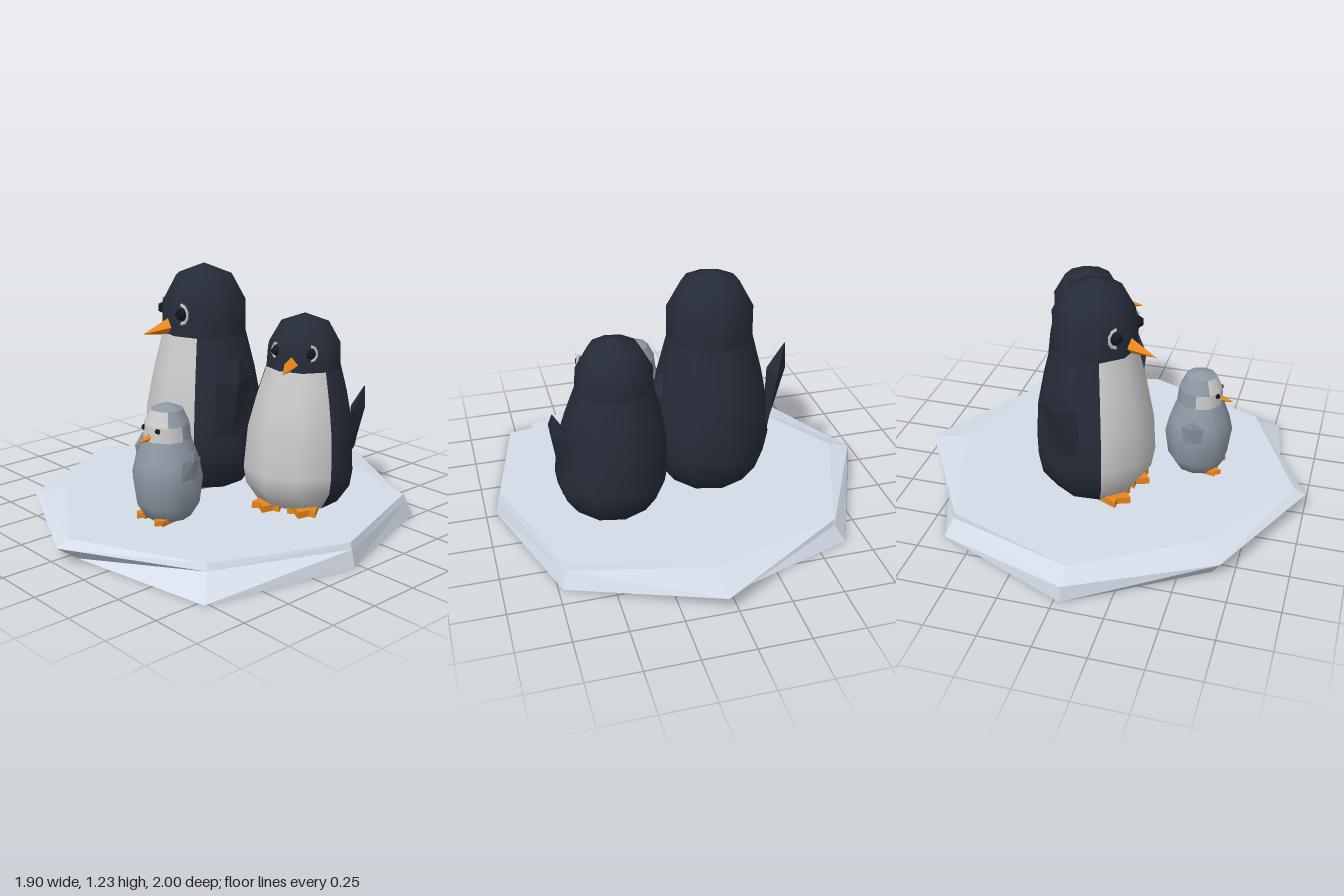
import * as THREE from 'three';

const DEG = Math.PI / 180;
const mat = (color, flatShading = false) =>
  new THREE.MeshStandardMaterial({ color, flatShading, side: THREE.DoubleSide });
const ice = mat(0xd3dce8, true);
const black = mat(0x252b38), blackFlat = mat(0x252b38, true);
const white = mat(0xebebeb), grey = mat(0x8d98a4), greyFlat = mat(0x8d98a4, true);
const dark = mat(0x14171f, true), orange = mat(0xe8871a, true);

function add(parent, name, geometry, material) {
  const mesh = new THREE.Mesh(geometry, material);
  mesh.name = name;
  parent.add(mesh);
  return mesh;
}

// Joins rings of equal length with quads, and closes both ends with a fan
function loft(rings) {
  const n = rings[0].length, idx = [], last = (rings.length - 1) * n;
  for (let r = 0; r < rings.length - 1; r++)
    for (let i = 0; i < n; i++) {
      const a = r * n + i, b = r * n + (i + 1) % n;
      idx.push(a, b, b + n, a, b + n, a + n);
    }
  for (let i = 1; i < n - 1; i++) idx.push(0, i + 1, i, last, last + i, last + i + 1);
  const g = new THREE.BufferGeometry();
  g.setAttribute('position', new THREE.Float32BufferAttribute(rings.flat(2), 3));
  g.setIndex(idx);
  g.computeVertexNormals();
  return g;
}

// Irregular eight-sided ice floe: base, rim and top outlines, [x, z] each
function makeFloe() {
  const base = [[0.05, 0.89], [0.78, 0.77], [0.95, 0.03], [0.73, -0.65],
    [0.05, -0.89], [-0.65, -0.65], [-0.95, 0.03], [-0.56, 0.65]];
  const rim = [[0.05, 1], [0.67, 0.66], [0.93, 0.03], [0.71, -0.62],
    [0.05, -1], [-0.6, -0.62], [-0.94, 0.03], [-0.6, 0.69]];
  const top = [[0.05, 0.94], [0.66, 0.65], [0.92, 0.03], [0.7, -0.61],
    [0.05, -0.81], [-0.6, -0.61], [-0.83, 0.03], [-0.49, 0.58]];
  const at = (ring, y) => ring.map(([x, z]) => [x, y, z]);
  return loft([at(base, 0), at(rim, 0.08), at(top, 0.11)]);
}

// Slice of a ten-sided lathe, in degrees about the front; the head leans back
function slice(profile, from, to, lean) {
  const g = new THREE.LatheGeometry(profile.map(([r, y]) => new THREE.Vector2(r, y)),
    Math.round((to - from) / 36), from * DEG, (to - from) * DEG);
  const p = g.attributes.position;
  for (let i = 0; i < p.count; i++)
    p.setZ(i, p.getZ(i) - lean * THREE.MathUtils.smoothstep(p.getY(i), 0.3, 0.9));
  return g;
}

// Pointed paddle on the +x side, from its root up to the raised tip
function makeFlipper({ x, y, h, w }) {
  const ring = (cx, cy, hx, hz) =>
    [[cx, cy, hz], [cx + hx, cy, 0], [cx, cy, -hz], [cx - hx, cy, 0]];
  return loft([
    ring(x, y, h * 0.04, w * 0.42),
    ring(x + h * 0.09, y + h * 0.67, h * 0.11, w * 0.5),
    ring(x + h * 0.18, y + h, 0.002, 0.002)]);
}

// Flat three-toed foot
function makeFoot(w, l, h) {
  const s = new THREE.Shape([[-0.25, -0.5], [0.25, -0.5], [0.5, 0.32], [0.26, 0.28],
    [0, 0.5], [-0.26, 0.28], [-0.5, 0.32]].map(([x, z]) => new THREE.Vector2(x * w, -z * l)));
  return new THREE.ExtrudeGeometry(s, { depth: h, bevelEnabled: false }).rotateX(-Math.PI / 2);
}

function makeBird(name, o) {
  const bird = new THREE.Group();
  bird.name = name;
  bird.position.set(o.x, 0, o.z);
  bird.rotation.y = o.yaw;
  const lean = o.lean;

  // Body and head, split where the plumage colour changes
  const lower = o.profile.slice(0, o.neck + 1), upper = o.profile.slice(o.neck);
  if (o.chick) {
    add(bird, 'body', slice(lower, 18, 378, lean), grey);
    add(bird, 'lowerFace', slice(upper.slice(0, 2), -90, 90, lean), white);
    add(bird, 'backOfHead', slice(upper.slice(0, 2), 90, 270, lean), grey);
    add(bird, 'upperFace', slice(upper.slice(1, 3), -54, 54, lean), white);
    add(bird, 'sidesOfHead', slice(upper.slice(1, 3), 54, 306, lean), grey);
    add(bird, 'crown', slice(upper.slice(2), 18, 378, lean), grey);
  } else {
    add(bird, 'belly', slice(lower, -54, 54, lean), white);
    add(bird, 'back', slice(lower, 54, 306, lean), black);
    add(bird, 'head', slice(upper, 18, 378, lean), black);
  }

  // Four-sided beak drooping to its tip
  const b = o.beak;
  const cone = new THREE.ConeGeometry(b.r, b.l, 4).rotateX(Math.PI / 2);
  const p = cone.attributes.position;
  for (let i = 0; i < p.count; i++) if (p.getZ(i) > 0) p.setY(i, -b.r * 0.7);
  add(bird, 'beak', cone, orange).position.set(0, b.y, b.z + b.l / 2 - lean);

  for (const side of [1, -1]) {
    const half = new THREE.Group();
    half.name = side > 0 ? 'leftSide' : 'rightSide';
    half.scale.x = side;
    bird.add(half);

    add(half, 'flipper', makeFlipper(o.flipper), o.chick ? greyFlat : blackFlat);
    const f = o.foot;
    add(half, 'foot', makeFoot(f.w, f.l, f.h), orange).position.set(f.x, 0.11, f.z);

    // Eye with a pale crescent on its outer edge
    const e = o.eye, eye = new THREE.Group();
    eye.name = 'eye';
    eye.position.set(e.d * Math.sin(e.a), e.y, e.d * Math.cos(e.a) - lean);
    eye.rotation.y = e.a;
    half.add(eye);
    add(eye, 'pupil', new THREE.IcosahedronGeometry(e.r, 0), dark);
    if (!o.chick) {
      const arc = new THREE.TorusGeometry(e.r * 1.35, e.r * 0.28, 4, 5, Math.PI);
      add(eye, 'eyeCrescent', arc.rotateZ(-Math.PI / 2), white).scale.x = 0.8;
    }
  }
  return bird;
}

export function createModel() {
  const model = new THREE.Group();
  model.name = 'penguinFamily';
  add(model, 'iceFloe', makeFloe(), ice);

  model.add(makeBird('largePenguin', {
    x: -0.135, z: -0.035, yaw: -0.26, lean: 0, neck: 6,
    profile: [[0, 0.12], [0.21, 0.13], [0.28, 0.23], [0.3, 0.34], [0.29, 0.52],
      [0.255, 0.7], [0.207, 0.89], [0.207, 1.04], [0.137, 1.17], [0, 1.225]],
    beak: { r: 0.045, l: 0.15, y: 0.93, z: 0.18 },
    eye: { a: 0.52, d: 0.197, y: 1.0, r: 0.034 },
    flipper: { x: 0.29, y: 0.43, h: 0.41, w: 0.2 },
    foot: { x: 0.095, z: 0.13, w: 0.15, l: 0.25, h: 0.035 },
  }));
  model.add(makeBird('mediumPenguin', {
    x: 0.395, z: -0.175, yaw: 0.42, lean: 0.05, neck: 6,
    profile: [[0, 0.12], [0.2, 0.13], [0.26, 0.22], [0.272, 0.3], [0.258, 0.5],
      [0.225, 0.64], [0.183, 0.78], [0.178, 0.88], [0.118, 0.985], [0, 1.03]],
    beak: { r: 0.038, l: 0.13, y: 0.82, z: 0.16 },
    eye: { a: 0.52, d: 0.172, y: 0.87, r: 0.026 },
    flipper: { x: 0.26, y: 0.41, h: 0.31, w: 0.17 },
    foot: { x: 0.09, z: 0.13, w: 0.14, l: 0.22, h: 0.032 },
  }));
  model.add(makeBird('chick', {
    x: 0.135, z: 0.43, yaw: 0, lean: 0, neck: 5, chick: true,
    profile: [[0, 0.115], [0.11, 0.12], [0.152, 0.19], [0.17, 0.32], [0.152, 0.4],
      [0.115, 0.5], [0.108, 0.57], [0.075, 0.637], [0, 0.667]],
    beak: { r: 0.021, l: 0.07, y: 0.52, z: 0.1 },
    eye: { a: 0.48, d: 0.107, y: 0.555, r: 0.014 },
    flipper: { x: 0.16, y: 0.33, h: 0.145, w: 0.11 },
    foot: { x: 0.065, z: 0.07, w: 0.06, l: 0.13, h: 0.025 },
  }));
  return model;
}
